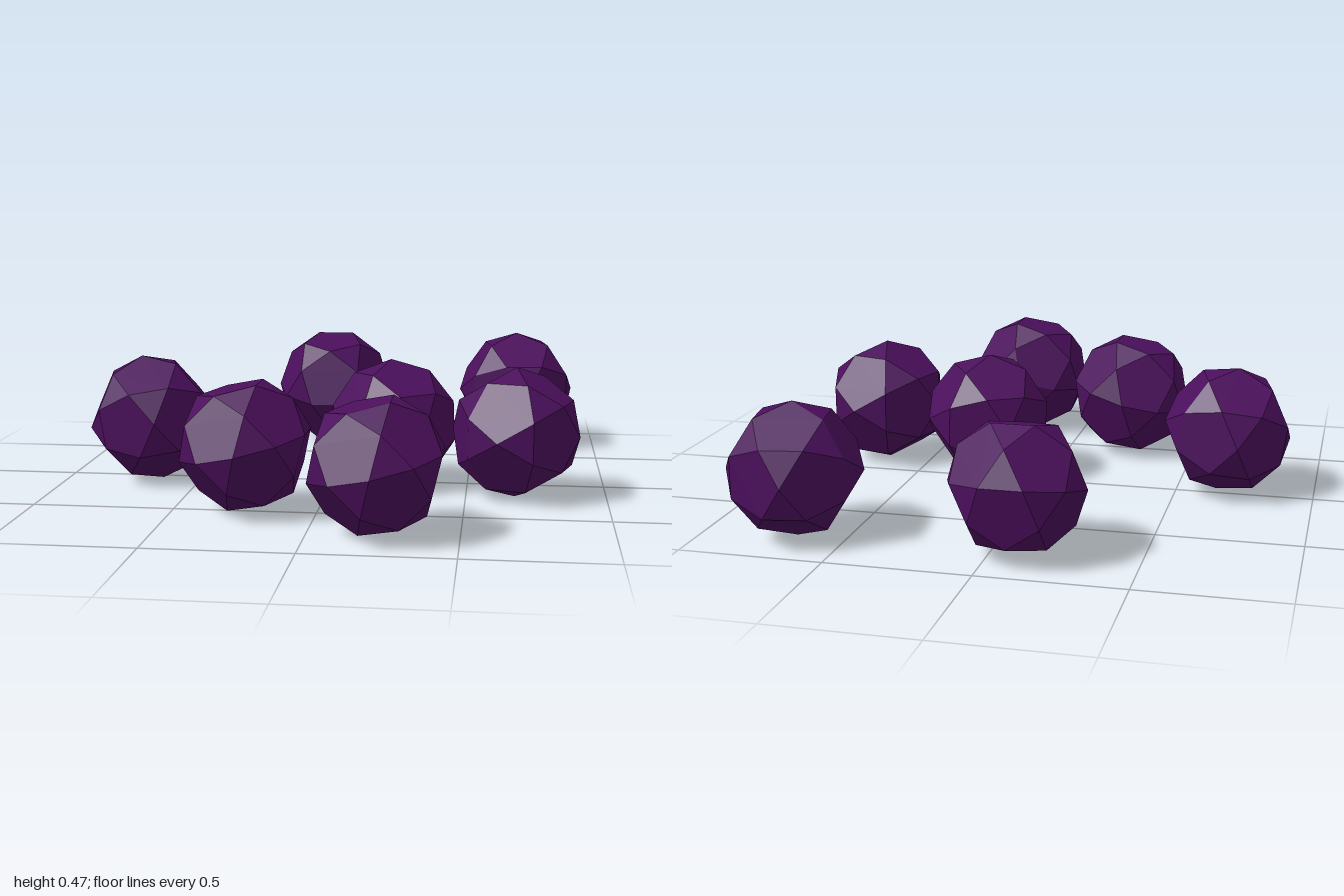
import * as THREE from 'three';
import { ConvexGeometry } from 'three/addons/geometries/ConvexGeometry.js';

const RADIUS = 0.234;

// Faceted ball of 12 pentagons and 20 triangles: axis points plus signed cyclic permutations.
function ballGeometry(r) {
  const a = 0.5 * r, b = 0.309017 * r, c = 0.809017 * r;
  const points = [];
  const addCyclic = (x, y, z) => points.push(
    new THREE.Vector3(x, y, z), new THREE.Vector3(y, z, x), new THREE.Vector3(z, x, y));
  for (const sx of [-1, 1]) {
    addCyclic(sx * r, 0, 0);
    for (const sy of [-1, 1]) for (const sz of [-1, 1]) addCyclic(sx * c, sy * a, sz * b);
  }
  return new ConvexGeometry(points);
}

// Position on the ground (x, z) and rotation in degrees of each ball.
const balls = [
  { name: 'backBall', at: [-0.09, -0.775], turn: [-45, 0, 0] },
  { name: 'backLeftBall', at: [0.675, -0.772], turn: [0, 100, 0] },
  { name: 'rightBall', at: [-0.68, 0.04], turn: [-30, -10, -16] },
  { name: 'middleBall', at: [0.227, 0.04], turn: [28, 12, 17] },
  { name: 'leftBall', at: [0.673, 0.178], turn: [0, -16, 0] },
  { name: 'frontRightBall', at: [-0.245, 0.5], turn: [0, 0, 45] },
  { name: 'frontBall', at: [0.227, 0.764], turn: [0, 0, 45] },
];

export function createModel() {
  const group = new THREE.Group();
  group.name = 'scatteredBalls';
  const geometry = ballGeometry(RADIUS);
  const material = new THREE.MeshStandardMaterial({ color: 0x4b0f5c, flatShading: true });
  for (const { name, at, turn } of balls) {
    const ball = new THREE.Mesh(geometry, material);
    ball.name = name;
    ball.position.set(at[0], 0.236, at[1]);
    ball.rotation.set(...turn.map(THREE.MathUtils.degToRad));
    group.add(ball);
  }
  return group;
}
